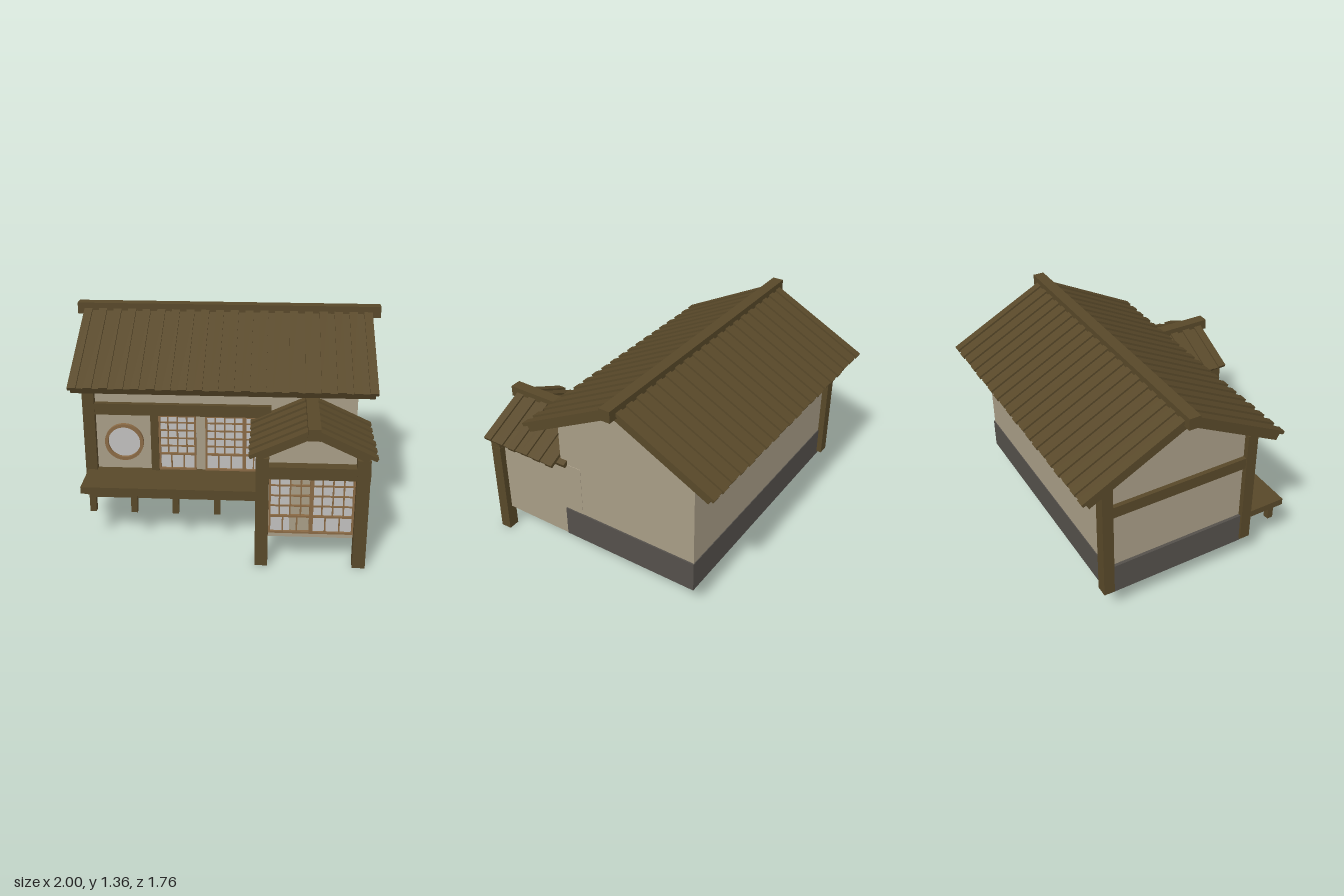
import * as THREE from 'three';

export function createModel() {
  const mat = (name, color) => {
    const m = new THREE.MeshStandardMaterial({ color });
    m.name = name;
    return m;
  };
  const timber = mat('dark timber', 0x584829);
  const plaster = mat('plaster', 0xa89d86);
  const stone = mat('foundation grey', 0x54504b);
  const paper = mat('window paper', 0xc0bfbe);
  const lath = mat('light wood', 0x8a6a45);

  const root = new THREE.Group();
  root.name = 'house';
  const group = (name, parent = root) => {
    const g = new THREE.Group();
    g.name = name;
    parent.add(g);
    return g;
  };
  const add = (parent, name, geometry, material) => {
    const m = new THREE.Mesh(geometry, material);
    m.name = name;
    parent.add(m);
    return m;
  };
  // Box given by its limits on each axis
  const box = (parent, name, material, x0, x1, y0, y1, z0, z1) => {
    const m = add(parent, name, new THREE.BoxGeometry(x1 - x0, y1 - y0, z1 - z0), material);
    m.position.set((x0 + x1) / 2, (y0 + y1) / 2, (z0 + z1) / 2);
    return m;
  };
  // Cross-section in x and y, extruded from z0 to z1
  const prism = (parent, name, material, points, z0, z1) => {
    const shape = new THREE.Shape(points.map(p => new THREE.Vector2(...p)));
    const g = new THREE.ExtrudeGeometry(shape, { depth: z1 - z0, bevelEnabled: false });
    g.translate(0, 0, z0);
    return add(parent, name, g, material);
  };
  // House-shaped body with a gable top
  const gableBody = (parent, name, w, base, apex, slope, z0, z1) =>
    prism(parent, name, plaster,
      [[-w, base], [w, base], [w, apex - slope * w], [0, apex], [-w, apex - slope * w]], z0, z1);
  // Bent roof layer: apex is the underside height, t the vertical thickness
  const roofLayer = (parent, name, w, apex, slope, t, z0, z1) => {
    const o = w + slope * t * 0.8;
    const eave = apex - slope * w, top = apex + t - slope * o;
    prism(parent, name, timber,
      [[0, apex], [w, eave], [o, top], [0, apex + t], [-o, top], [-w, eave]], z0, z1);
  };
  // Boards with raised battens at an even pitch
  const boardRoof = (parent, w, apex, slope, z0, z1, count) => {
    roofLayer(parent, 'roofBoards', w - 0.008, apex, slope, 0.014, z0 + 0.005, z1 - 0.005);
    const pitch = (z1 - z0) / (count - 0.45);
    for (let i = 0; i < count; i++) {
      const z = z0 + i * pitch;
      roofLayer(parent, 'roofBatten', w - (i % 3) * 0.002, apex + 0.004, slope, 0.024, z, z + pitch * 0.55);
    }
  };
  // Paper screen with a fine grid above a rail and wide panels below
  const screen = (parent, x0, x1, y0, y1, rail, z, cols, rows, lowCols, paperTo = x1) => {
    const g = group('latticeScreen', parent);
    box(g, 'paper', paper, x0, paperTo, y0, y1, z, z + 0.006);
    const bar = (a, b, c, d, deep) => box(g, 'latticeBar', lath, a, b, c, d, z, z + deep);
    const f = 0.012, h = 0.0045;
    bar(x0, x0 + f, y0, y1, 0.022);
    bar(x1 - f, x1, y0, y1, 0.022);
    for (const y of [y0, rail - f / 2, y1 - f]) bar(x0, x1, y, y + f, 0.021);
    for (let i = 1; i < cols; i++) {
      const x = x0 + (x1 - x0) * i / cols;
      bar(x - h, x + h, rail, y1, 0.015);
    }
    for (let i = 1; i < rows; i++) {
      const y = rail + (y1 - rail) * i / rows;
      bar(x0, x1, y - h, y + h, 0.014);
    }
    for (let i = 1; i < lowCols; i++) {
      const x = x0 + (x1 - x0) * i / lowCols;
      bar(x - h, x + h, y0, rail, 0.015);
    }
  };

  // Main house: local z runs along the ridge (world x)
  const main = group('mainHouse');
  main.rotation.y = Math.PI / 2;
  main.position.z = -0.205;
  gableBody(main, 'mainWalls', 0.485, 0.18, 1.268, 0.515, -0.865, 0.84);
  roofLayer(main, 'roofSlab', 0.625, 1.265, 0.515, 0.05, -0.945, 0.93);
  boardRoof(main, 0.665, 1.315, 0.515, -0.955, 0.945, 20);
  box(main, 'ridgeBeam', timber, -0.037, 0.037, 1.285, 1.36, -1, 1);

  box(root, 'foundation', stone, -0.885, 0.85, 0.17, 0.375, -0.695, 0.258);

  // Timber frame on the front and the right-hand end
  const frame = group('timberFrame');
  for (const z of [-0.73, 0.25]) box(frame, 'cornerPost', timber, -0.9, -0.825, 0.19, 1.0, z, z + 0.07);
  box(frame, 'frontBeam', timber, -0.83, 0.3, 0.76, 0.835, 0.26, 0.315);
  box(frame, 'sideBeam', timber, -0.893, -0.84, 0.76, 0.835, -0.67, 0.26);
  box(frame, 'wallPost', timber, -0.47, -0.42, 0.37, 0.765, 0.26, 0.312);

  // Front windows
  const windows = group('frontWindows');
  screen(windows, -0.42, -0.18, 0.378, 0.76, 0.49, 0.281, 4, 5, 3);
  screen(windows, -0.12, 0.13, 0.378, 0.76, 0.49, 0.281, 4, 5, 3);
  screen(windows, 0.13, 0.25, 0.378, 0.76, 0.49, 0.281, 2, 5, 2);
  const pane = add(windows, 'roundPane', new THREE.CircleGeometry(0.112, 40), paper);
  pane.position.set(-0.645, 0.565, 0.284);
  const ringShape = new THREE.Shape().absarc(0, 0, 0.125, 0, Math.PI * 2);
  ringShape.holes.push(new THREE.Path().absarc(0, 0, 0.104, 0, Math.PI * 2, true));
  const ring = add(windows, 'roundFrame',
    new THREE.ExtrudeGeometry(ringShape, { depth: 0.025, bevelEnabled: false, curveSegments: 40 }), lath);
  ring.position.set(-0.645, 0.565, 0.28);

  // Veranda
  const veranda = group('veranda');
  box(veranda, 'deck', timber, -0.885, 0.25, 0.33, 0.375, 0.25, 0.58);
  box(veranda, 'deckBeam', timber, -0.835, 0.23, 0.295, 0.33, 0.52, 0.55);
  for (let i = 0; i < 4; i++) {
    const x = -0.835 + i * 0.262;
    box(veranda, 'verandaLeg', timber, x, x + 0.04, 0.195, 0.332, 0.515, 0.555);
  }

  // Entrance porch
  const porch = group('porch');
  const porchTop = group('porchShell', porch);
  porchTop.position.x = 0.547;
  gableBody(porchTop, 'porchWalls', 0.295, 0.165, 0.858, 0.47, 0.13, 0.75);
  roofLayer(porchTop, 'porchRoofSlab', 0.315, 0.855, 0.47, 0.033, 0.23, 0.83);
  boardRoof(porchTop, 0.37, 0.888, 0.47, 0.285, 0.84, 6);
  box(porchTop, 'porchRidgeBeam', timber, -0.037, 0.037, 0.86, 0.932, 0.28, 0.885);
  for (const x of [0.215, 0.805]) box(porch, 'porchPost', timber, x, x + 0.078, 0, 0.715, 0.75, 0.822);
  box(porch, 'porchHeader', timber, 0.22, 0.886, 0.583, 0.66, 0.748, 0.818);
  screen(porch, 0.295, 0.55, 0.2, 0.583, 0.315, 0.751, 4, 4, 3, 0.42);
  screen(porch, 0.55, 0.805, 0.2, 0.583, 0.315, 0.751, 4, 4, 3);

  return root;
}
